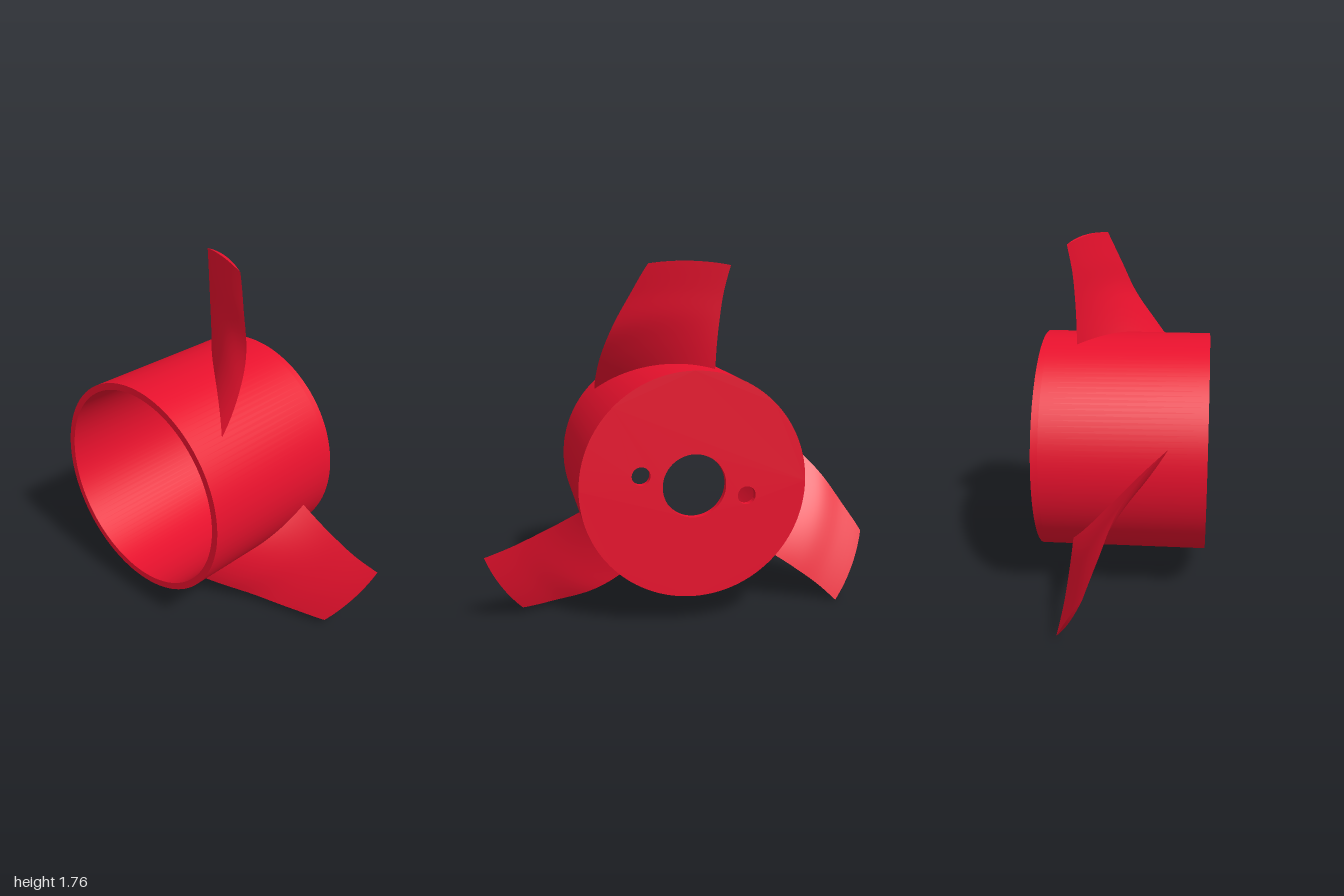
import * as THREE from 'three';
import { toCreasedNormals } from 'three/addons/utils/BufferGeometryUtils.js';

const RADIUS = 0.557, HALF = 0.415, PLATE = 0.035;

// Blade stations: radius, leading angle, leading x, trailing angle, trailing x, front bulge, back bulge
const STATIONS = [
  [0.54, 0.83, -0.25, -0.26, 0.24, 0.03, -0.025],
  [0.666, 0.623, -0.123, -0.223, 0.24, 0.026, -0.02],
  [0.788, 0.446, -0.016, -0.203, 0.243, 0.021, -0.015],
  [0.922, 0.28, 0.053, -0.192, 0.251, 0.016, -0.01],
  [1.06, 0.159, 0.115, -0.196, 0.27, 0.012, -0.005],
];

// Smooth curve through one column of the stations
function station(v, column) {
  const last = STATIONS.length - 1;
  const i = Math.min(Math.floor(v * last), last - 1);
  const at = (k) => STATIONS[Math.max(0, Math.min(last, k))][column];
  return THREE.MathUtils.clamp(v, 0, 1) === 1
    ? at(last)
    : catmullRom(v * last - i, at(i - 1), at(i), at(i + 1), at(i + 2));
}

function catmullRom(t, a, b, c, d) {
  const m0 = (c - a) / 2, m1 = (d - b) / 2;
  return (2 * b - 2 * c + m0 + m1) * t ** 3 + (3 * c - 3 * b - 2 * m0 - m1) * t * t + m0 * t + b;
}

// Point on the blade: u leading to trailing, v root to tip, side 0 front to 1 back
function bladePoint(u, v, side) {
  const [r, la, lx, ta, tx, front, back] = [0, 1, 2, 3, 4, 5, 6].map((c) => station(v, c));
  const ds = (ta - la) * r, dx = tx - lx;
  const length = Math.hypot(ds, dx);
  const bulge = THREE.MathUtils.lerp(front, back, side) * 4 * u * (1 - u);
  const angle = la + (ta - la) * u + (bulge * dx) / length / r;
  return [lx + dx * u - (bulge * ds) / length, r * Math.cos(angle), r * Math.sin(angle)];
}

// Smooth grid surface from a point rule
function surface(rule, nu, nv) {
  const positions = [], index = [];
  for (let j = 0; j <= nv; j++)
    for (let i = 0; i <= nu; i++) positions.push(...rule(i / nu, j / nv));
  for (let j = 0; j < nv; j++)
    for (let i = 0; i < nu; i++) {
      const a = j * (nu + 1) + i, b = a + 1, c = a + nu + 1, d = c + 1;
      index.push(a, b, c, b, d, c);
    }
  const geometry = new THREE.BufferGeometry();
  geometry.setAttribute('position', new THREE.Float32BufferAttribute(positions, 3));
  geometry.setIndex(index);
  geometry.computeVertexNormals();
  return geometry;
}

function circle(radius, x = 0, y = 0, Type = THREE.Path) {
  return new Type().absarc(x, y, radius, 0, Math.PI * 2, false);
}

// Disc with round holes, extruded along x from x0 to x1
function disc(holes, x0, x1) {
  const shape = circle(RADIUS, 0, 0, THREE.Shape);
  shape.holes.push(...holes);
  const geometry = new THREE.ExtrudeGeometry(shape, { depth: x1 - x0, bevelEnabled: false, curveSegments: 64 });
  geometry.rotateY(Math.PI / 2).translate(x0, 0, 0);
  return toCreasedNormals(geometry, 0.5);
}

export function createModel() {
  const model = new THREE.Group();
  model.name = 'propeller';
  const red = new THREE.MeshStandardMaterial({ color: 0xe8112d });
  const add = (parent, geometry, name) => {
    const mesh = new THREE.Mesh(geometry, red);
    mesh.name = name;
    parent.add(mesh);
  };

  // Hollow hub: open at -x, closed by a drilled plate at +x
  add(model, disc([circle(0.522)], -HALF, HALF - PLATE), 'hubWall');
  const holes = [circle(0.156), circle(0.045, -0.26, 0.06), circle(0.045, 0.26, -0.06)];
  add(model, disc(holes, HALF - PLATE, HALF), 'hubPlate');

  // Three twisted blades
  const front = surface((u, v) => bladePoint(u, v, 0), 20, 24);
  const back = surface((u, v) => bladePoint(1 - u, v, 1), 20, 24);
  const tip = surface((u, v) => bladePoint(u, 1, v), 20, 1);
  for (let i = 0; i < 3; i++) {
    const blade = new THREE.Group();
    blade.name = 'blade' + (i + 1);
    add(blade, front, 'bladeFront');
    add(blade, back, 'bladeBack');
    add(blade, tip, 'bladeTip');
    blade.rotation.x = (i * Math.PI * 2) / 3;
    model.add(blade);
  }

  model.position.set(0, 0.704, -0.003);
  return model;
}
